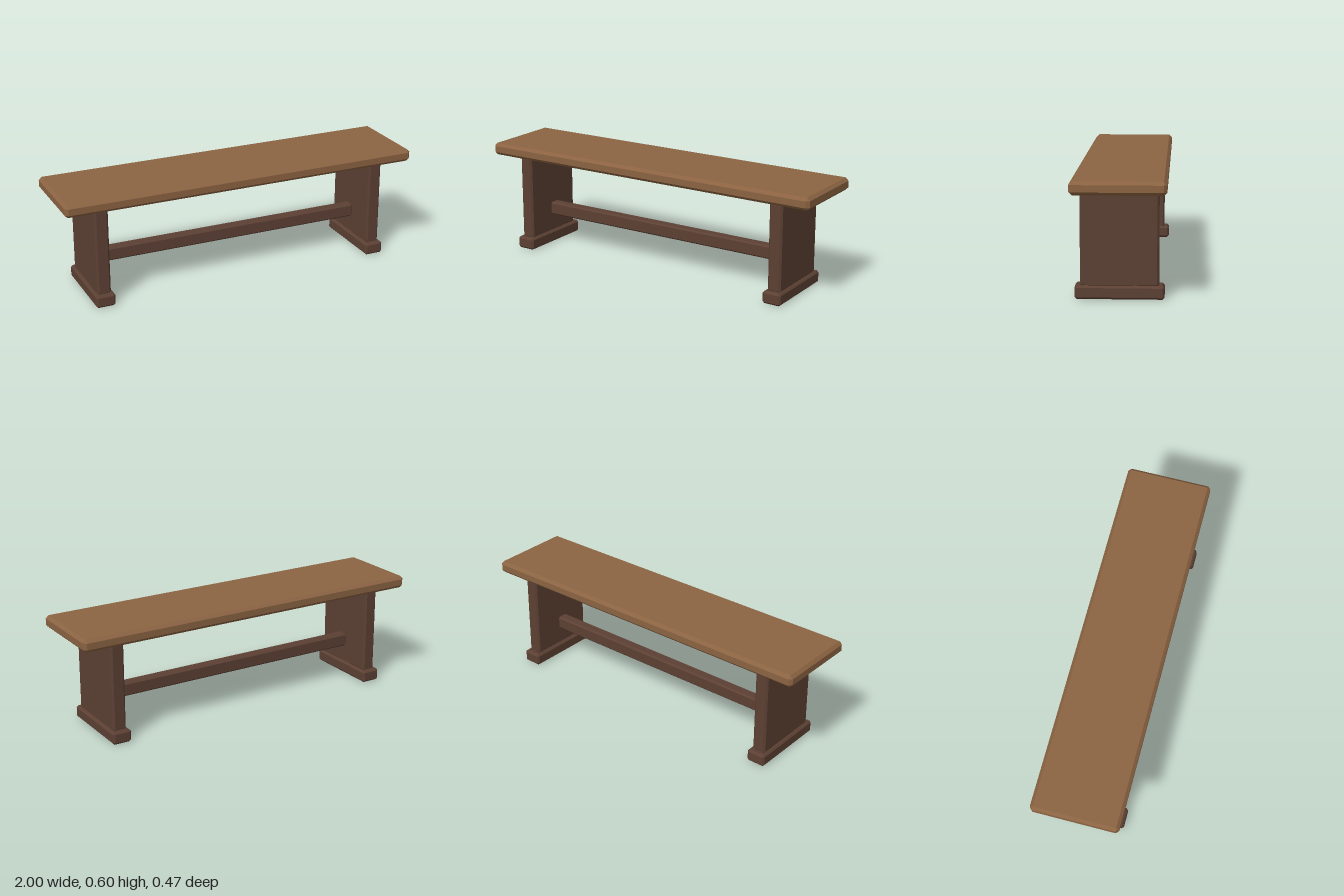
import * as THREE from 'three';
import { ConvexGeometry } from 'three/addons/geometries/ConvexGeometry.js';

// Box with flat chamfers on every edge and corner
function chamferedBox(w, h, d, c) {
  const points = [];
  for (const sx of [-1, 1]) for (const sy of [-1, 1]) for (const sz of [-1, 1]) {
    const x = w / 2, y = h / 2, z = d / 2;
    points.push(
      new THREE.Vector3(sx * x, sy * (y - c), sz * (z - c)),
      new THREE.Vector3(sx * (x - c), sy * y, sz * (z - c)),
      new THREE.Vector3(sx * (x - c), sy * (y - c), sz * z)
    );
  }
  return new ConvexGeometry(points);
}

export function createModel() {
  const bench = new THREE.Group();
  bench.name = 'bench';
  const lightWood = new THREE.MeshStandardMaterial({ color: 0x8b6342, flatShading: true });
  const darkWood = new THREE.MeshStandardMaterial({ color: 0x5c4033, flatShading: true });

  // Adds a beam of the given size, with its underside at height y
  function addBeam(name, material, [w, h, d], chamfer, x, y) {
    const mesh = new THREE.Mesh(chamferedBox(w, h, d, chamfer), material);
    mesh.name = name;
    mesh.position.set(x, y + h / 2, 0);
    bench.add(mesh);
  }

  // Seat plank
  addBeam('seat', lightWood, [2, 0.067, 0.467], 0.016, 0, 0.535);

  // Panel leg and foot at each end
  for (const [side, s] of [['left', 1], ['right', -1]]) {
    addBeam(side + 'Leg', darkWood, [0.075, 0.475, 0.387], 0.01, s * 0.8, 0.06);
    addBeam(side + 'Foot', darkWood, [0.105, 0.067, 0.44], 0.01, s * 0.8, 0);
  }

  // Long rail between the legs
  addBeam('stretcher', darkWood, [1.52, 0.073, 0.06], 0.008, 0, 0.167);

  return bench;
}
